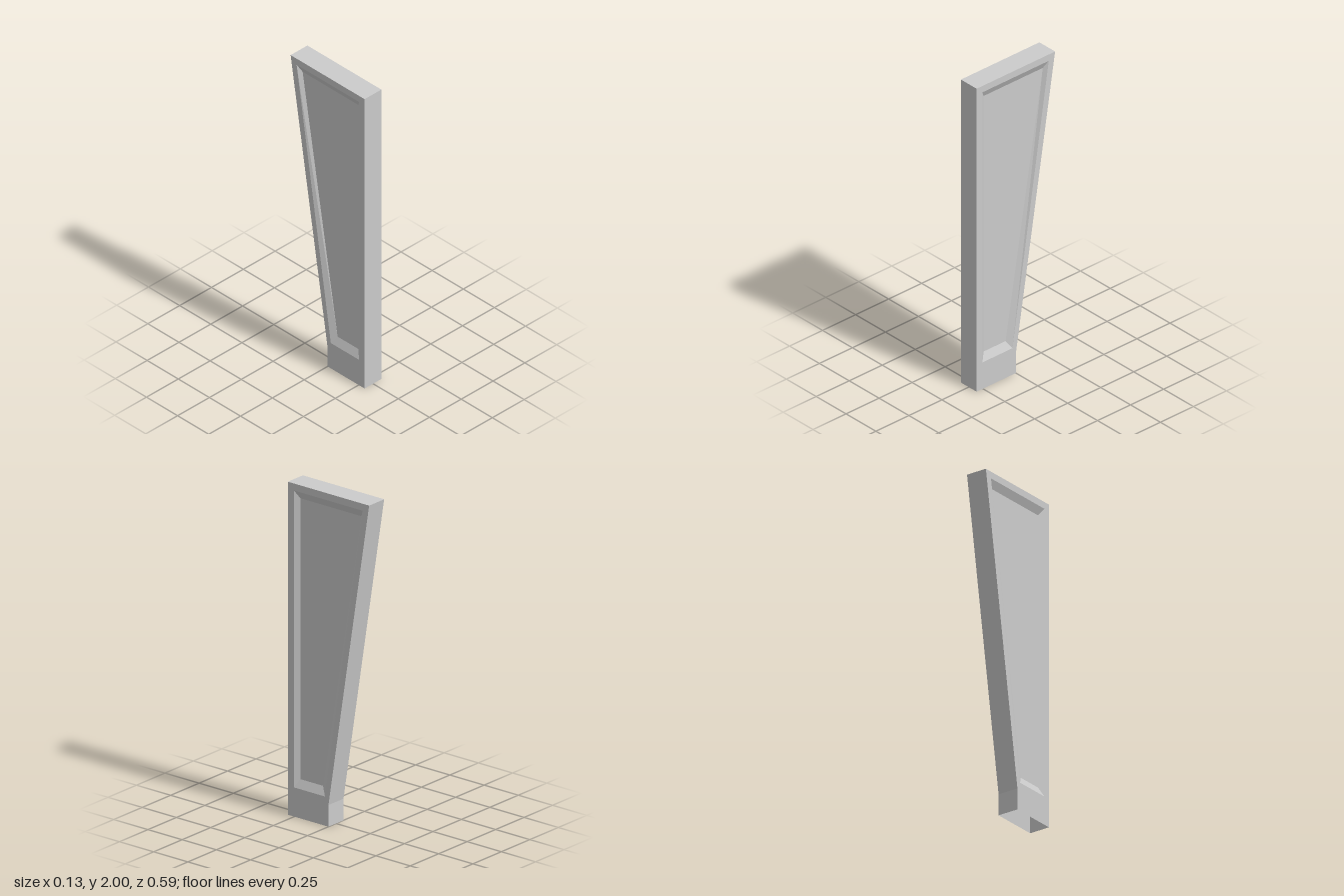
import * as THREE from 'three';

const HALF = 0.066;   // half thickness of the post
const DEPTH = 0.022;  // how far each side panel is sunk

// Loops of [z, y], running low front, top front, top back, low back
const outline = [[0.297, 0.13], [0.297, 2], [-0.297, 2], [0, 0.13]];
const rim = [[0.253, 0.175], [0.253, 1.958], [-0.249, 1.958], [0.026, 0.175]];
const floor = [[0.224, 0.225], [0.224, 1.912], [-0.223, 1.912], [0.058, 0.225]];
const footFront = [0.297, 0];
const footBack = [0, 0];

const material = new THREE.MeshStandardMaterial({
  color: 0xcccccc, flatShading: true, side: THREE.DoubleSide,
});

// Mesh from a list of four-cornered faces
function quadMesh(name, quads) {
  const positions = quads.flatMap(([a, b, c, d]) => [a, b, c, a, c, d].flat());
  const geometry = new THREE.BufferGeometry();
  geometry.setAttribute('position', new THREE.Float32BufferAttribute(positions, 3));
  geometry.computeVertexNormals();
  const mesh = new THREE.Mesh(geometry, material);
  mesh.name = name;
  return mesh;
}

const at = (x, [z, y]) => [x, y, z];

// Band of faces between two loops lying at different x
function band(outer, xOuter, inner, xInner) {
  return outer.map((p, i) => {
    const j = (i + 1) % outer.length;
    return [at(xOuter, p), at(xOuter, outer[j]), at(xInner, inner[j]), at(xInner, inner[i])];
  });
}

function createSide(sign, name) {
  const x = sign * HALF;
  const sunk = sign * (HALF - DEPTH);
  const face = (quads) => (sign > 0 ? quads.map((q) => [...q].reverse()) : quads);
  const foot = [footFront, outline[0], outline[3], footBack].map((p) => at(x, p));
  const side = new THREE.Group();
  side.name = name;
  side.add(
    quadMesh('sideFrame', face([...band(outline, x, rim, x), foot])),
    quadMesh('panelBevel', face(band(rim, x, floor, sunk))),
    quadMesh('sunkenPanel', face([floor.map((p) => at(sunk, p))])),
  );
  return side;
}

export function createModel() {
  const model = new THREE.Group();
  model.name = 'taperedLeg';

  // Front, top, sloping back and foot back; the underside stays open
  const edge = [footFront, outline[1], outline[2], outline[3], footBack];
  const walls = edge.slice(1).map((q, i) => {
    const p = edge[i];
    return [at(-HALF, p), at(HALF, p), at(HALF, q), at(-HALF, q)];
  });
  model.add(quadMesh('edgeWalls', walls));

  model.add(createSide(-1, 'rightSide'), createSide(1, 'leftSide'));
  return model;
}
